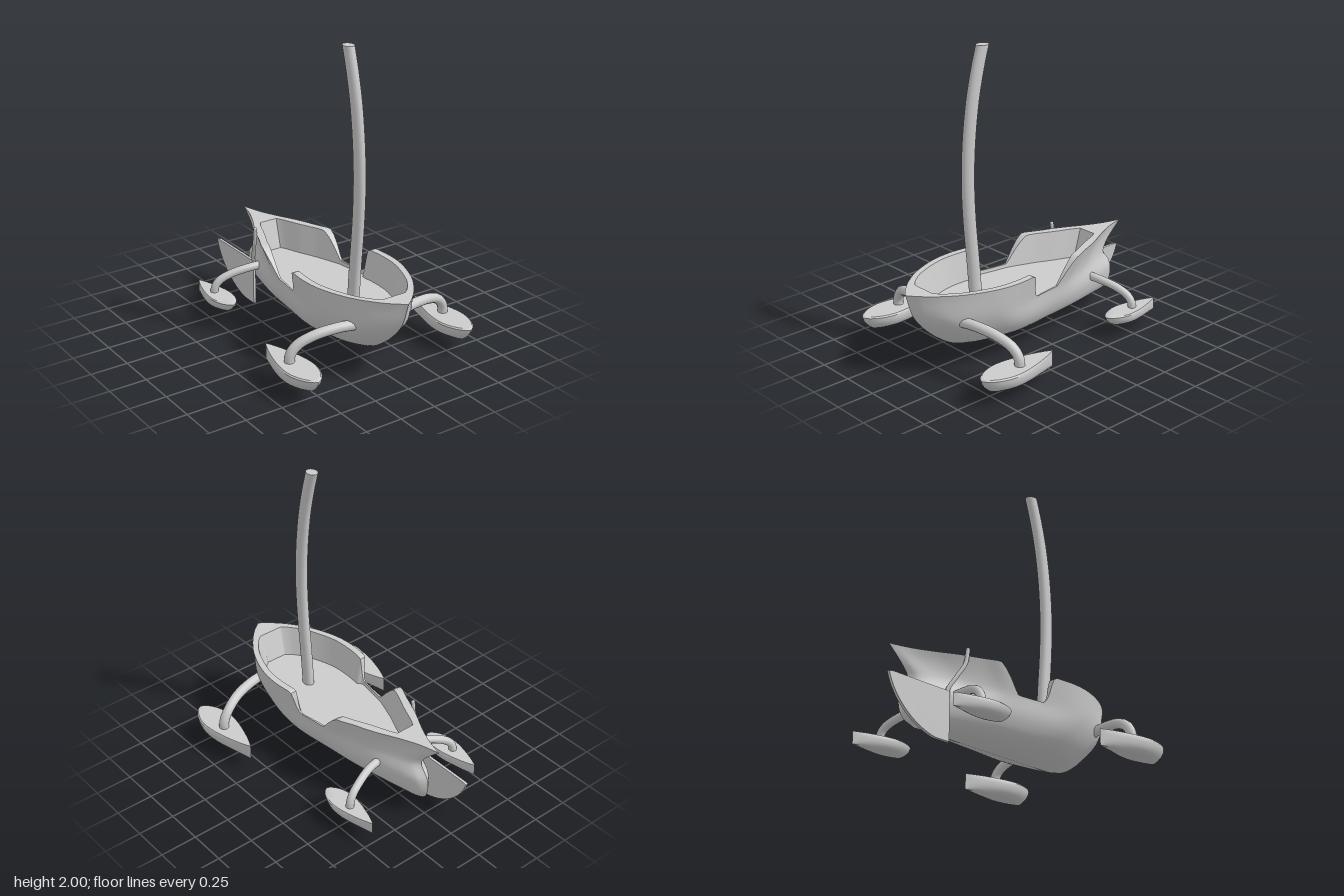
import * as THREE from 'three';
import { toCreasedNormals } from 'three/addons/utils/BufferGeometryUtils.js';

const V = (x, y, z) => new THREE.Vector3(x, y, z);
const material = new THREE.MeshStandardMaterial({ color: 0xcccccc });

// Smooth lookup in a small table of [key, value] pairs with rising keys
function table(pts) {
  const slope = (i) => {
    const a = pts[Math.max(i - 1, 0)], b = pts[Math.min(i + 1, pts.length - 1)];
    return (b[1] - a[1]) / (b[0] - a[0]);
  };
  return (k) => {
    if (k <= pts[0][0]) return pts[0][1];
    if (k >= pts[pts.length - 1][0]) return pts[pts.length - 1][1];
    let i = 0;
    while (k > pts[i + 1][0]) i++;
    const h = pts[i + 1][0] - pts[i][0], t = (k - pts[i][0]) / h, t2 = t * t, t3 = t2 * t;
    return (2 * t3 - 3 * t2 + 1) * pts[i][1] + (t3 - 2 * t2 + t) * h * slope(i)
      + (3 * t2 - 2 * t3) * pts[i + 1][1] + (t3 - t2) * h * slope(i + 1);
  };
}

// Skin over closed rings; each ring runs counter-clockwise seen from above
function loft(rings, crease = 0.6) {
  const n = rings[0].length, index = [];
  for (let r = 0; r < rings.length - 1; r++) {
    for (let c = 0; c < n; c++) {
      const a = r * n + c, b = r * n + (c + 1) % n;
      index.push(a, b, b + n, a, b + n, a + n);
    }
  }
  const g = new THREE.BufferGeometry().setFromPoints(rings.flat());
  g.setIndex(index);
  return toCreasedNormals(g, crease);
}

// Ring from the +x half, sampled from bow (u = 0) to stern (u = 1), mirrored to -x
function mirroredRing(n, half) {
  const side = [];
  for (let i = 0; i <= n; i++) side.push(half(0.5 - 0.5 * Math.cos(Math.PI * i / n)));
  const other = side.slice(1, -1).reverse().map((p) => V(-p.x, p.y, p.z));
  return [...side, ...other];
}

function add(parent, name, geometry) {
  const m = new THREE.Mesh(geometry, material);
  m.name = name;
  parent.add(m);
  return m;
}

// Hull shape tables: end positions and width by height, plan outline by u
const bowZ = table([[0.09, 0.48], [0.115, 0.6], [0.2, 0.74], [0.3, 0.85], [0.4, 0.925], [0.56, 0.98]]);
const sternZ = table([[0.09, -0.65], [0.12, -0.73], [0.18, -0.77], [0.28, -0.77], [0.33, -0.735],
  [0.38, -0.705], [0.43, -0.73], [0.5, -0.795], [0.56, -0.86]]);
const girth = table([[0.09, 0], [0.115, 0.32], [0.165, 0.61], [0.23, 0.77], [0.3, 0.86], [0.4, 0.92], [0.56, 1]]);
const planTop = table([[0, 0], [0.03, 0.07], [0.08, 0.155], [0.15, 0.24], [0.25, 0.31], [0.34, 0.33], [0.45, 0.31],
  [0.53, 0.285], [0.64, 0.27], [0.7, 0.225], [0.78, 0.165], [0.86, 0.09], [0.93, 0.035], [1, 0]]);
const planLow = table([[0, 0], [0.03, 0.1], [0.1, 0.22], [0.25, 0.315], [0.34, 0.33], [0.5, 0.29],
  [0.65, 0.25], [0.8, 0.18], [0.9, 0.12], [0.97, 0.06], [1, 0]]);
const innerW = table([[-0.55, 0.065], [-0.5, 0.09], [-0.4, 0.13], [-0.2, 0.215], [0, 0.24], [0.2, 0.272],
  [0.35, 0.285], [0.5, 0.272], [0.7, 0.2], [0.8, 0.13], [0.84, 0.085]]);

function hullGeometry() {
  const floorY = 0.37, topY = 0.56, split = 0.36;
  const point = (y, u) => {
    const t = THREE.MathUtils.smoothstep(y, 0.3, 0.56);
    const w = THREE.MathUtils.lerp(planLow(u), planTop(u), t) * girth(y);
    return V(Math.max(w, 0), y, THREE.MathUtils.lerp(bowZ(y), sternZ(y), u));
  };
  // Rim height, dipping at the boarding gap
  const rimY = (u) => {
    const z = 0.98 - 1.84 * u;
    const s = z > 0 ? THREE.MathUtils.smoothstep(z, 0.11, 0.22) : THREE.MathUtils.smoothstep(-z, 0.1, 0.21);
    return 0.393 + (topY - 0.393) * s;
  };
  const ring = (f) => mirroredRing(120, f);
  const rings = [];
  const rows = 26;
  for (let r = 0; r <= rows; r++) {
    const y = 0.09 + 0.47 * (r / rows) ** 1.7;
    rings.push(ring((u) => point(y < split ? y : split + (y - split) * (rimY(u) - split) / (topY - split), u)));
  }
  // Inner edge of the rim; the ends close with a short straight wall
  const inner = (u) => {
    const p = point(rimY(u), u);
    const z = THREE.MathUtils.clamp(p.z, -0.55, 0.84);
    let x = innerW(z);
    if (z !== p.z) x *= Math.min(1, p.x / planTop((0.98 - z) / 1.84));
    return V(Math.min(x, p.x), p.y, z);
  };
  const floor = (u) => {
    const p = inner(u), k = (p.y - floorY) / (topY - floorY);
    return V(p.x * (1 - 0.13 * k), floorY, 0.145 + (p.z - 0.145) * (1 - 0.09 * k));
  };
  rings.push(ring(inner), ring(floor), ring((u) => V(0, floorY, floor(u).z)));
  return loft(rings);
}

// Boat-shaped float: pointed stern, blunt raked bow, flat top, rounded bottom
const floatPlan = table([[0, 0], [0.03, 0.3], [0.12, 0.68], [0.25, 0.94], [0.36, 1], [0.55, 0.87], [0.8, 0.48],
  [0.95, 0.15], [1, 0]]);
function floatGeometry({ x, halfW, front, back, low, high }) {
  const section = [[0, 0], [0, 0.4], [0.06, 0.62], [0.2, 0.82], [0.45, 0.95], [0.7, 1], [0.92, 1], [1, 0.93], [1, 0]];
  return loft(section.map(([h, s]) => mirroredRing(24, (u) => {
    const f = front - 0.08 * (1 - h) ** 2 - (h === 1 ? 0.012 : 0);
    return V(floatPlan(u) * halfW * s, low + (high - low) * h, THREE.MathUtils.lerp(f, back, u));
  })), 0.7).translate(x, 0, 0);
}

const tube = (pts, radius) => new THREE.TubeGeometry(new THREE.CatmullRomCurve3(pts), 32, radius, 14);

export function createModel() {
  const model = new THREE.Group();
  model.name = 'outriggerBoat';

  add(model, 'hull', hullGeometry());

  // Bowed mast with level ends
  const mastZ = table([[0.36, 0.425], [0.6, 0.442], [0.9, 0.468], [1.15, 0.477], [1.4, 0.466], [1.65, 0.435], [1.85, 0.392], [2, 0.35]]);
  const mastRings = [];
  const mastRing = (y, s) => Array.from({ length: 24 }, (_, i) => {
    const a = i / 24 * Math.PI * 2;
    return V(Math.cos(a) * 0.035 * s, y, mastZ(y) - Math.sin(a) * 0.044 * s);
  });
  for (let i = 0; i <= 30; i++) mastRings.push(mastRing(0.36 + 1.64 * i / 30, 1));
  mastRings.push(mastRing(2, 0));
  add(model, 'mast', loft(mastRings));

  // Two pairs of floats on curved arms
  const pairs = [
    { name: 'front', x: 0.58, halfW: 0.105, front: 0.885, back: 0.31, low: 0.08, high: 0.185, r: 0.033,
      arm: [V(0.17, 0.36, 0.7), V(0.3, 0.362, 0.675), V(0.44, 0.34, 0.64), V(0.54, 0.29, 0.605), V(0.585, 0.23, 0.592), V(0.592, 0.15, 0.59)] },
    { name: 'rear', x: 0.435, halfW: 0.08, front: -0.3, back: -0.75, low: 0.08, high: 0.16, r: 0.027,
      arm: [V(0.1, 0.31, -0.445), V(0.22, 0.302, -0.465), V(0.33, 0.275, -0.5), V(0.405, 0.235, -0.525), V(0.435, 0.19, -0.535), V(0.44, 0.12, -0.537)] },
  ];
  for (const p of pairs) {
    for (const s of [1, -1]) {
      const side = s > 0 ? 'Left' : 'Right';
      add(model, `${p.name}${side}Float`, floatGeometry({ ...p, x: p.x * s }));
      add(model, `${p.name}${side}Arm`, tube(p.arm.map((q) => V(q.x * s, q.y, q.z)), p.r));
    }
  }

  // Steering blade on one side of the stern, drawn as (-z, y)
  const blade = new THREE.Shape();
  blade.moveTo(0.515, 0.005);
  blade.lineTo(0.62, 0.005);
  blade.bezierCurveTo(0.76, 0.03, 0.92, 0.14, 0.97, 0.305);
  blade.lineTo(0.95, 0.31);
  blade.lineTo(0.515, 0.31);
  const bladeGeometry = new THREE.ExtrudeGeometry(blade, {
    depth: 0.01, bevelThickness: 0.006, bevelSize: 0.006, bevelSegments: 2, curveSegments: 16,
  });
  const rudder = add(model, 'rudder', bladeGeometry);
  rudder.rotation.y = Math.PI / 2;
  rudder.position.x = -0.145;

  // Bent tiller rising from the blade past the rim
  const tillerPath = [V(-0.14, 0.2, -0.53), V(-0.14, 0.31, -0.525), V(-0.165, 0.41, -0.475), V(-0.188, 0.5, -0.425), V(-0.192, 0.595, -0.408)];
  add(model, 'tiller', tube(tillerPath, 0.013));
  add(model, 'tillerTip', new THREE.SphereGeometry(0.013, 14, 10)).position.copy(tillerPath[4]);

  return model;
}
